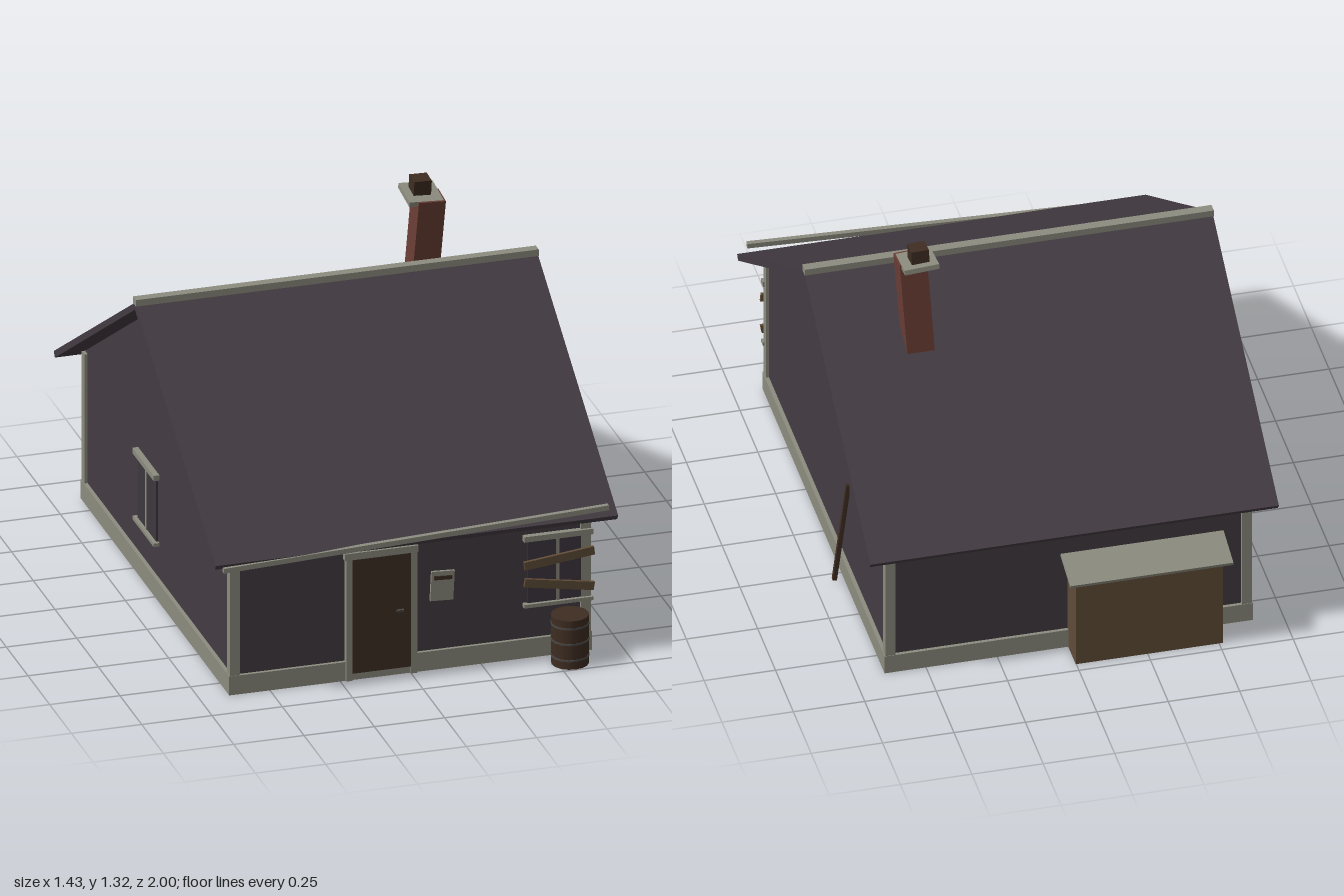
import * as THREE from 'three';

const paint = (name, color) => {
  const m = new THREE.MeshStandardMaterial({ color });
  m.name = name;
  return m;
};

export function createModel() {
  const slate = paint('dark slate', 0x433b42);
  const trim = paint('weathered trim', 0x8c8c7f);
  const doorWood = paint('dark door wood', 0x3f2f23);
  const plankWood = paint('plank wood', 0x604c38);
  const brick = paint('brick', 0x6a3d35);
  const barrelWood = paint('barrel wood', 0x3f2d22);
  const iron = paint('iron', 0x4a4845);
  const glass = paint('dark glass', 0x3e373e);

  const house = new THREE.Group();
  house.name = 'cottage';

  const add = (name, geo, mat, pos = [0, 0, 0], rot = [0, 0, 0], parent = house) => {
    const mesh = new THREE.Mesh(geo, mat);
    mesh.name = name;
    mesh.position.set(...pos);
    mesh.rotation.set(...rot);
    parent.add(mesh);
    return mesh;
  };
  const box = (name, size, pos, mat, rot, parent) =>
    add(name, new THREE.BoxGeometry(...size), mat, pos, rot, parent);

  // Extrudes a (z, y) outline along x, centred
  const alongX = (points, length) => {
    const shape = new THREE.Shape(points.map(([z, y]) => new THREE.Vector2(z, y)));
    const geo = new THREE.ExtrudeGeometry(shape, { depth: length, bevelEnabled: false });
    return geo.translate(0, 0, -length / 2).rotateY(Math.PI / 2);
  };

  // Walls with gables, and the plinth below
  const slope = 0.62;
  const wallZ = 0.845;
  const under = 1.078;
  add('walls', alongX([[-wallZ, 0.02], [wallZ, 0.02], [wallZ, under - slope * wallZ],
    [0, under], [-wallZ, under - slope * wallZ]], 1.262), slate);
  box('plinth', [1.29, 0.07, 1.715], [0, 0.035, 0], trim);

  // Corner posts
  for (const x of [-1, 1])
    for (const z of [-1, 1])
      box('cornerPost', [0.036, 0.49, 0.036], [x * 0.624, 0.305, z * 0.838], trim);

  // Roof and ridge cap
  add('roof', alongX([[0, 1.102], [-0.935, 0.522], [-0.922, 0.503], [0, 1.076],
    [0.922, 0.503], [0.935, 0.522]], 1.43), slate, [0, 0, -0.004]);
  box('ridgeCap', [1.432, 0.024, 0.034], [0, 1.106, -0.006], trim);

  // Sagging gutter
  box('gutter', [1.37, 0.018, 0.018], [-0.003, 0.529, 0.927], trim, [0, 0, 0.041]);

  // Front door with frame and handle
  box('door', [0.21, 0.425, 0.02], [-0.105, 0.2375, 0.852], doorWood);
  for (const x of [-0.22, 0.01])
    box('doorPost', [0.022, 0.45, 0.03], [x, 0.225, 0.85], trim);
  box('doorLintel', [0.262, 0.025, 0.035], [-0.106, 0.4625, 0.85], trim);
  box('doorHandle', [0.025, 0.008, 0.012], [-0.04, 0.24, 0.866], iron);

  // Notice board beside the door
  const notice = new THREE.Group();
  notice.name = 'notice';
  notice.position.set(0.114, 0.307, 0.849);
  notice.rotation.z = -0.05;
  house.add(notice);
  box('noticePanel', [0.082, 0.108, 0.012], [0, 0, 0], trim, undefined, notice);
  box('noticeStrip', [0.064, 0.014, 0.008], [0, 0.031, 0.006], doorWood, undefined, notice);

  // A window built facing +z, centred on its own origin
  const addWindow = (name, pos, turn) => {
    const win = new THREE.Group();
    win.name = name;
    win.position.set(...pos);
    win.rotation.y = turn;
    house.add(win);
    box('windowPane', [0.215, 0.235, 0.009], [0, 0.003, 0], glass, undefined, win);
    box('windowMullion', [0.009, 0.235, 0.012], [0, 0.003, 0.003], trim, undefined, win);
    box('windowHead', [0.246, 0.02, 0.025], [0, 0.128, 0.005], trim, undefined, win);
    box('windowSill', [0.246, 0.013, 0.025], [0, -0.121, 0.005], trim, undefined, win);
  };
  addWindow('frontWindow', [0.524, 0.316, 0.849], 0);
  addWindow('rightWindow', [-0.634, 0.316, -0.115], -Math.PI / 2);

  // Planks nailed over the front window
  box('upperPlank', [0.25, 0.03, 0.012], [0.525, 0.361, 0.866], plankWood, [0, 0, 0.115]);
  box('lowerPlank', [0.25, 0.03, 0.012], [0.525, 0.264, 0.866], plankWood, [0, 0, -0.17]);

  // Pole leaning on the side wall
  box('leaningPole', [0.015, 0.39, 0.015], [0.658, 0.208, -0.302], doorWood, [0, 0, 0.125]);

  // Crooked chimney
  box('chimneyStack', [0.096, 0.5, 0.09], [0.385, 1.01, -0.252], brick, [0.105, 0, -0.05]);
  box('chimneyCap', [0.122, 0.018, 0.13], [0.379, 1.256, -0.254], trim, [0.14, 0, -0.06]);
  box('chimneyPot', [0.062, 0.058, 0.06], [0.377, 1.288, -0.257], barrelWood, [0.07, 0, -0.03]);

  // Lean-to at the back
  box('leanToBox', [0.515, 0.36, 0.12], [-0.256, 0.18, -0.903], plankWood);
  box('leanToRoof', [0.57, 0.012, 0.145], [-0.256, 0.369, -0.928], trim, [-0.27, 0, 0]);

  // Barrel with iron hoops
  const barrel = new THREE.Group();
  barrel.name = 'barrel';
  barrel.position.set(0.543, 0, 0.933);
  house.add(barrel);
  add('barrelBody', new THREE.CylinderGeometry(0.065, 0.065, 0.18, 16), barrelWood, [0, 0.09, 0], undefined, barrel);
  for (const y of [0.032, 0.092, 0.15])
    add('barrelHoop', new THREE.CylinderGeometry(0.067, 0.067, 0.007, 16), iron, [0, y, 0], undefined, barrel);

  return house;
}
